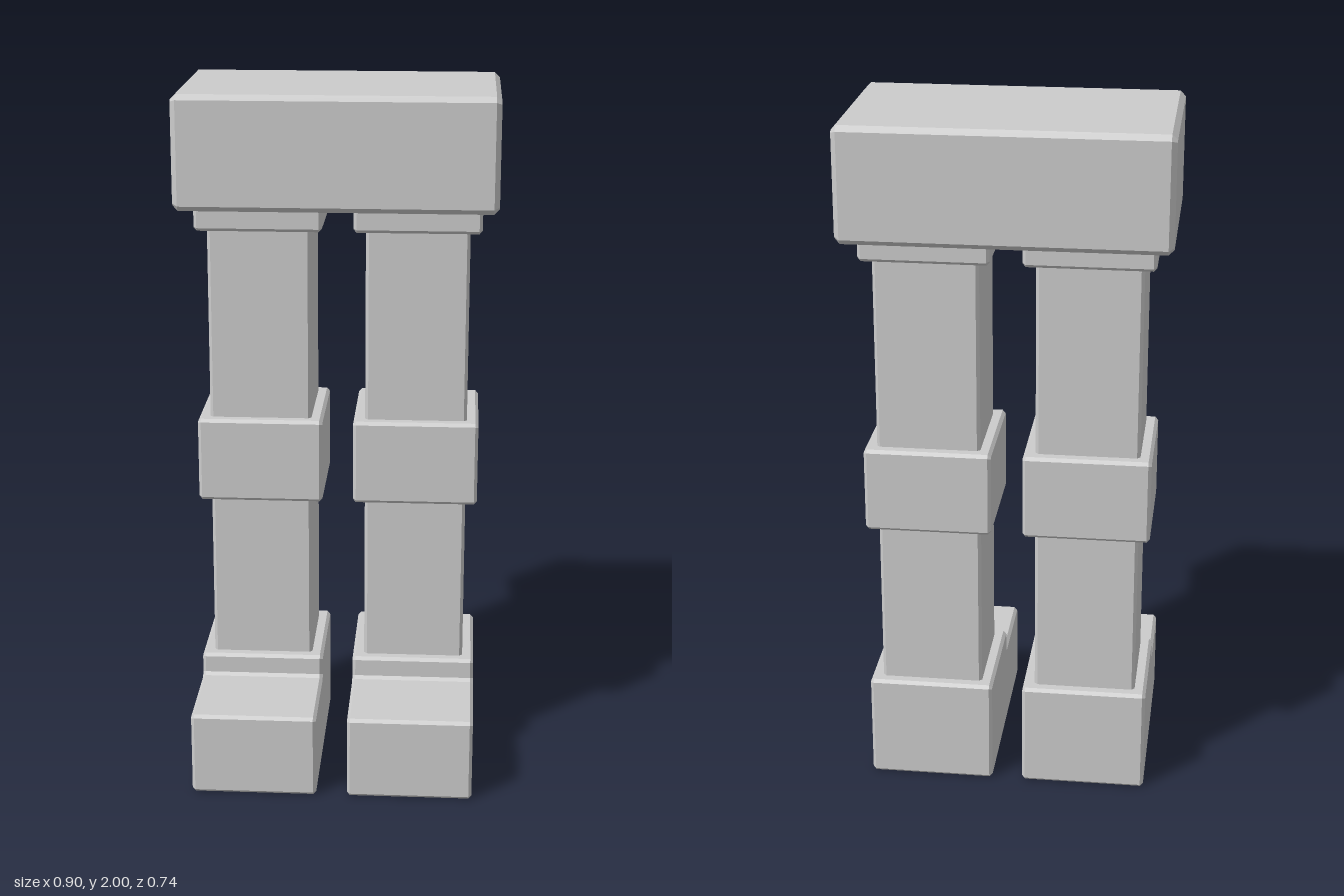
import * as THREE from 'three';

const material = new THREE.MeshStandardMaterial({ color: 0xcccccc, flatShading: true });

// Solid from a side profile of [z, y] corners, extruded along x, all edges chamfered by c
function chamferedProfile(name, corners, width, c) {
  const pts = [];
  corners.forEach((p, i) => {
    const here = new THREE.Vector2(...p);
    for (const step of [corners.length - 1, 1]) {
      const other = new THREE.Vector2(...corners[(i + step) % corners.length]);
      pts.push(here.clone().add(other.sub(here).setLength(c)));
    }
  });
  const depth = width - 2 * c;
  const geometry = new THREE.ExtrudeGeometry(new THREE.Shape(pts), {
    depth, bevelEnabled: true, bevelSegments: 1, bevelSize: c, bevelThickness: c, bevelOffset: -c,
  });
  geometry.translate(0, 0, -depth / 2).rotateY(-Math.PI / 2);
  const mesh = new THREE.Mesh(geometry, material);
  mesh.name = name;
  return mesh;
}

function chamferedBox(name, width, y0, y1, z0, z1, c) {
  return chamferedProfile(name, [[z0, y0], [z1, y0], [z1, y1], [z0, y1]], width, c);
}

function createLeg(name, x) {
  const leg = new THREE.Group();
  leg.name = name;
  leg.position.x = x;
  leg.add(
    // L-shaped boot with the toe pointing forward
    chamferedProfile('boot', [
      [-0.28, 0], [0.367, 0], [0.367, 0.245], [0.08, 0.245], [0.08, 0.312], [-0.28, 0.312],
    ], 0.362, 0.009),
    chamferedBox('shin', 0.295, 0.3, 0.82, -0.247, 0.048, 0.009),
    chamferedBox('knee', 0.362, 0.803, 1.05, -0.28, 0.08, 0.009),
    chamferedBox('thigh', 0.295, 1.03, 1.63, -0.247, 0.048, 0.009),
    chamferedBox('hipCollar', 0.362, 1.605, 1.72, -0.28, 0.08, 0.009),
  );
  return leg;
}

export function createModel() {
  const model = new THREE.Group();
  model.name = 'blockLegs';
  model.add(
    chamferedBox('pelvis', 0.905, 1.677, 2, -0.368, 0.166, 0.015),
    createLeg('leftLeg', 0.227),
    createLeg('rightLeg', -0.224),
  );
  return model;
}
